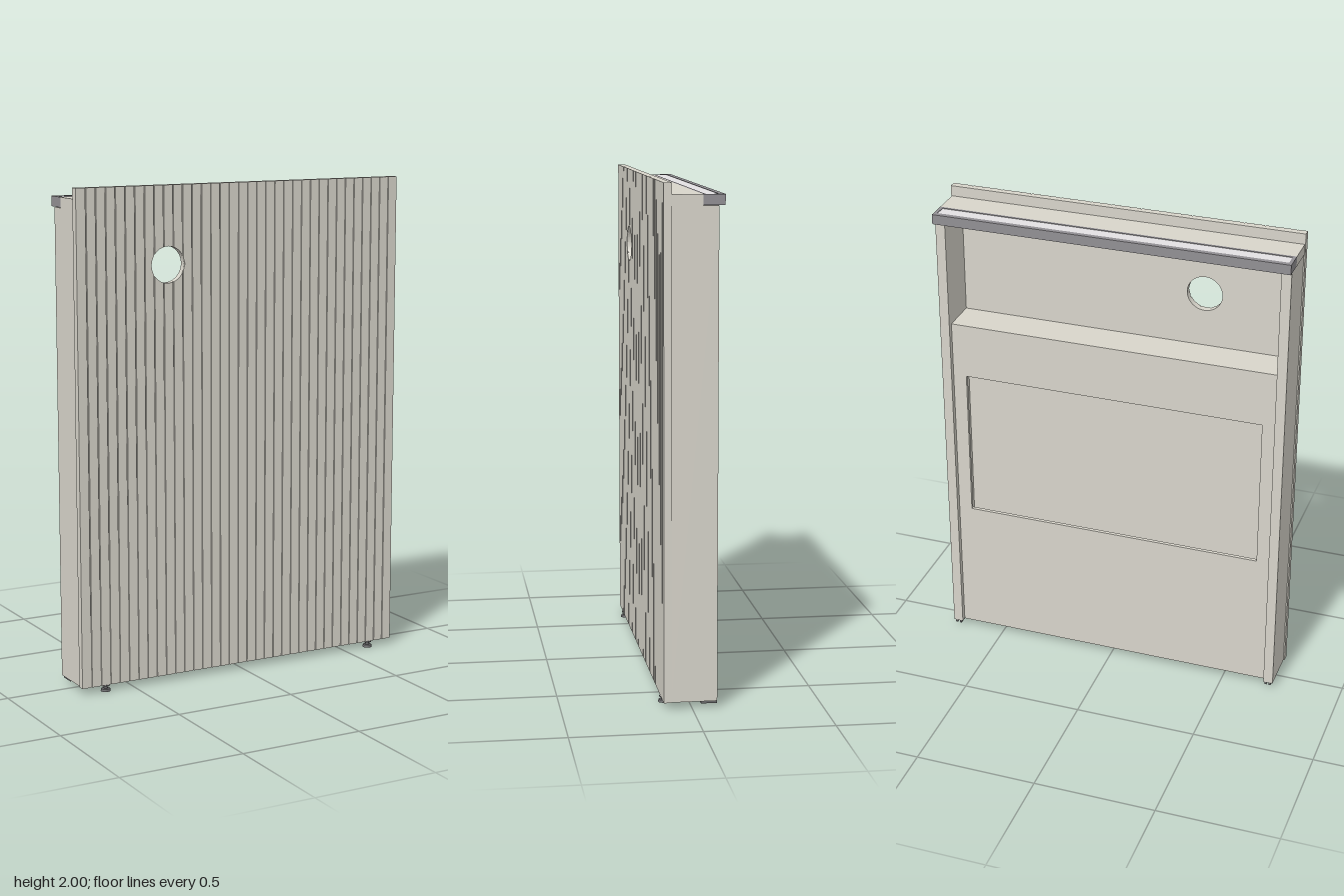
import * as THREE from 'three';

export function createModel() {
  const root = new THREE.Group();
  const paint = (name, color) => {
    const m = new THREE.MeshStandardMaterial({ color });
    m.name = name;
    return m;
  };
  const stone = paint('warm grey board', 0xd8d5cb);
  const dark = paint('dark grey rail', 0x929094);
  const light = paint('light grey inlay', 0xe3e1e3);
  const metal = paint('foot metal', 0x68686a);

  const add = (name, geometry, material, parent = root) => {
    const mesh = new THREE.Mesh(geometry, material);
    mesh.name = name;
    parent.add(mesh);
    return mesh;
  };
  // box given by its limits on each axis
  const box = (name, [x0, x1], [y0, y1], [z0, z1], material, parent) => {
    const mesh = add(name, new THREE.BoxGeometry(x1 - x0, y1 - y0, z1 - z0), material, parent);
    mesh.position.set((x0 + x1) / 2, (y0 + y1) / 2, (z0 + z1) / 2);
    return mesh;
  };
  const rect = (x0, x1, y0, y1) => [[x0, y0], [x1, y0], [x1, y1], [x0, y1]].map(p => new THREE.Vector2(...p));
  const plate = (shape, z0, z1) =>
    new THREE.ExtrudeGeometry(shape, { depth: z1 - z0, bevelEnabled: false, curveSegments: 32 }).translate(0, 0, z0);

  const W = 0.727, bottom = 0.026, top = 2, shelfW = 0.724, inner = 0.682;
  const hole = { x: -0.335, y: 1.69, r: 0.072 };

  // front board with the round opening
  const board = new THREE.Shape(rect(-W, W, bottom, top));
  board.holes.push(new THREE.Path().absarc(hole.x, hole.y, hole.r, 0, Math.PI * 2, true));
  add('frontBoard', plate(board, 0.08, 0.105), stone);

  // vertical slats, cut around the opening
  const slats = new THREE.Group();
  slats.name = 'frontSlats';
  root.add(slats);
  const count = 35, pitch = (2 * W) / count, groove = 0.004;
  for (let i = 0; i < count; i++) {
    const x0 = -W + i * pitch + (i ? groove / 2 : 0);
    const x1 = -W + (i + 1) * pitch - (i < count - 1 ? groove / 2 : 0);
    if (x1 < hole.x - hole.r || x0 > hole.x + hole.r) {
      box('slat', [x0, x1], [bottom, top], [0.105, 0.11], stone, slats);
      continue;
    }
    for (const side of [-1, 1]) {
      const end = side < 0 ? bottom : top;
      const pts = [new THREE.Vector2(x1, end), new THREE.Vector2(x0, end)];
      for (let k = 0; k <= 10; k++) {
        const x = x0 + (x1 - x0) * k / 10;
        const h = Math.sqrt(Math.max(0, hole.r ** 2 - (x - hole.x) ** 2));
        pts.push(new THREE.Vector2(x, hole.y + side * h));
      }
      add('cutSlat', plate(new THREE.Shape(pts), 0.105, 0.11), stone, slats);
    }
  }

  // side walls with their floor pads and the front feet
  for (const s of [-1, 1]) {
    const span = (a, b) => (s > 0 ? [a, b] : [-b, -a]);
    box('sideWall', span(inner, 0.722), [bottom, 1.915], [-0.097, 0.08], stone);
    for (const x of [0.688, 0.706]) box('floorPad', span(x, x + 0.008), [0.015, bottom], [-0.097, -0.035], metal);
    const foot = new THREE.Group();
    foot.name = 'foot';
    foot.position.set(s * 0.62, 0, 0.098);
    root.add(foot);
    add('footDisc', new THREE.CylinderGeometry(0.018, 0.02, 0.01, 20), metal, foot).position.y = 0.005;
    add('footStem', new THREE.CylinderGeometry(0.008, 0.008, 0.012, 12), metal, foot).position.y = 0.015;
    add('footCollar', new THREE.CylinderGeometry(0.016, 0.016, 0.006, 6), metal, foot).position.y = 0.023;
  }

  // hollow lower cabinet: thin back face with a wide window, ledge and floor
  const ledgeY = 1.467;
  const face = new THREE.Shape(rect(-inner, inner, bottom, ledgeY));
  face.holes.push(new THREE.Path(rect(-0.626, 0.626, 0.603, 1.237)));
  add('cabinetFace', plate(face, -0.075, -0.06), stone);
  box('cabinetLedge', [-inner, inner], [ledgeY - 0.015, ledgeY], [-0.06, 0.08], stone);
  box('cabinetFloor', [-inner, inner], [0.03, 0.045], [-0.06, 0.08], stone);

  // top shelf and edge rail with its inlay
  box('topShelf', [-shelfW, shelfW], [1.915, 1.957], [-0.037, 0.08], stone);
  const rail = new THREE.Shape(rect(-shelfW, shelfW, 0.037, 0.12));
  rail.holes.push(new THREE.Path(rect(-0.71, 0.71, 0.047, 0.099)));
  add('edgeRail', plate(rail, 1.917, 1.957).rotateX(-Math.PI / 2), dark);
  box('railBase', [-0.71, 0.71], [1.918, 1.947], [-0.099, -0.047], dark);
  box('railInlay', [-0.71, 0.71], [1.947, 1.955], [-0.099, -0.047], light);

  return root;
}
